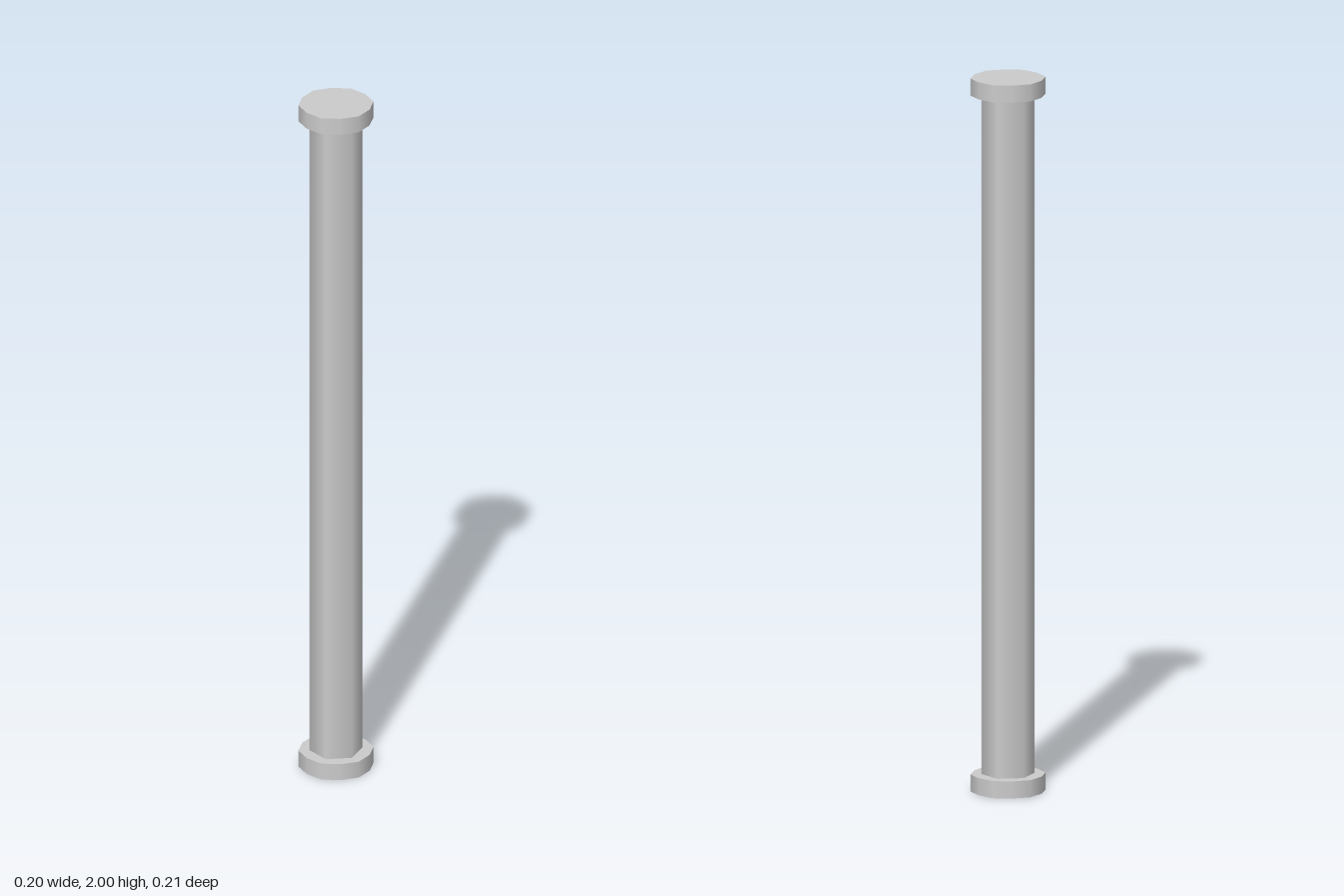
import * as THREE from 'three';

const HEIGHT = 2;
const CAP_HEIGHT = 0.048;
const SHAFT_RADIUS = 0.073;
const CAP_CORNER = 0.1035; // corners in line with the shaft's edges
const CAP_BETWEEN = 0.1; // corners between them

// Twelve-sided disc whose corners alternate between two radii
function capGeometry() {
  const geometry = new THREE.CylinderGeometry(1, 1, CAP_HEIGHT, 12);
  const p = geometry.attributes.position;
  for (let i = 0; i < p.count; i++) {
    const x = p.getX(i), z = p.getZ(i);
    const corner = Math.round(Math.atan2(x, z) / (Math.PI / 6));
    const r = corner % 2 === 0 ? CAP_CORNER : CAP_BETWEEN;
    p.setXYZ(i, x * r, p.getY(i), z * r);
  }
  return geometry;
}

export function createModel() {
  const group = new THREE.Group();
  group.name = 'post';
  const material = new THREE.MeshStandardMaterial({ color: 0xcccccc });

  const add = (name, geometry, y) => {
    const mesh = new THREE.Mesh(geometry, material);
    mesh.name = name;
    mesh.position.y = y;
    group.add(mesh);
  };

  // Smooth-shaded six-sided shaft between the two end caps
  const length = HEIGHT - 2 * CAP_HEIGHT;
  add('shaft', new THREE.CylinderGeometry(SHAFT_RADIUS, SHAFT_RADIUS, length, 6, 1, true), HEIGHT / 2);

  // End caps
  const cap = capGeometry();
  add('bottomCap', cap, CAP_HEIGHT / 2);
  add('topCap', cap, HEIGHT - CAP_HEIGHT / 2);

  return group;
}
